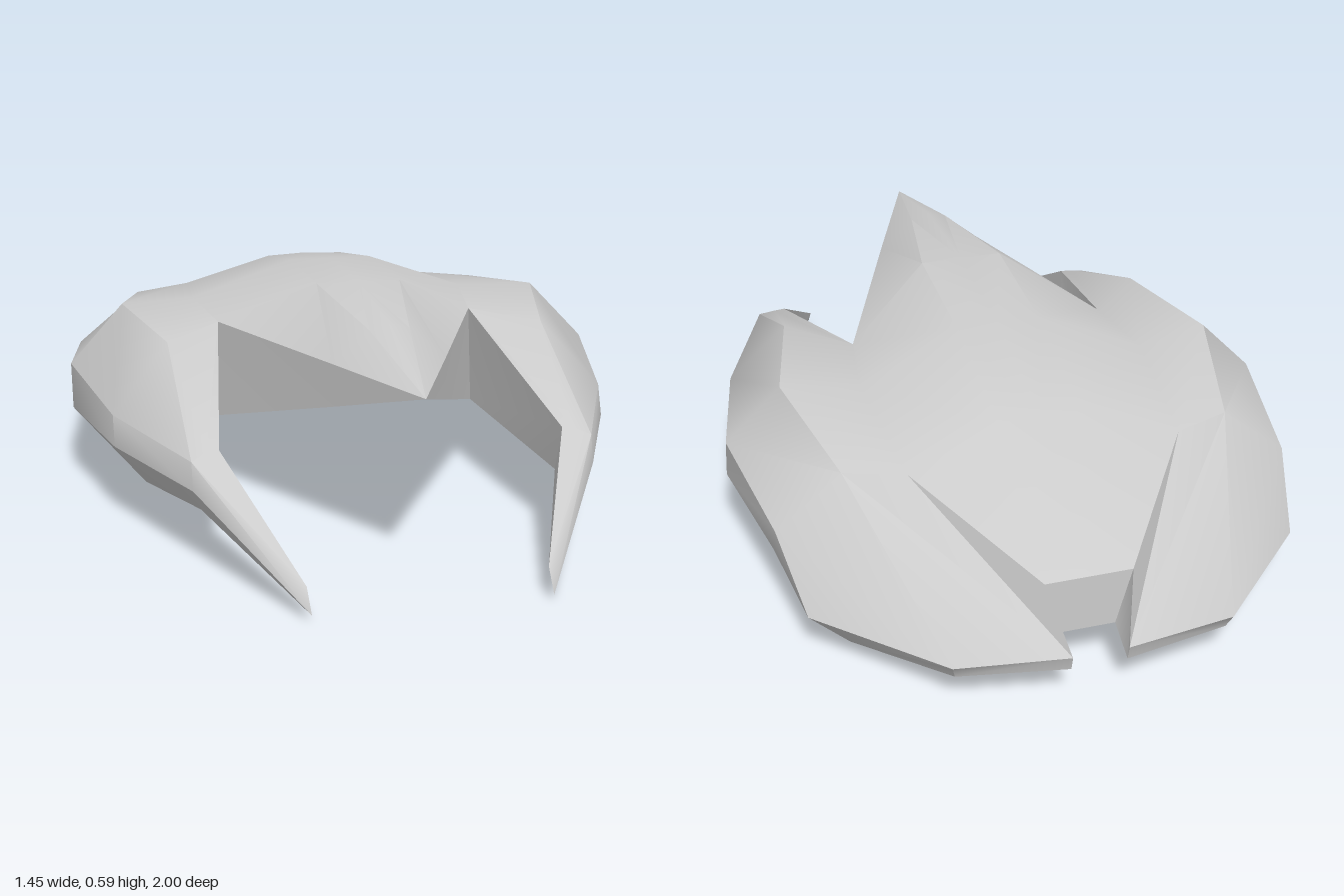
import * as THREE from 'three';
import { toCreasedNormals } from 'three/addons/utils/BufferGeometryUtils.js';

// Half cross-sections (+x side), back to front. Each runs from the top centre,
// out over the shoulder and rim, and back underneath to the bottom centre.
const rear = [
  [0, .29, -.9], [.11, .29, -.9], [.07, .14, -1], [.35, .14, -.96], [.63, .135, -.67],
  [.52, 0, -.62], [.34, .1, -.94], [.07, .1, -.99], [.07, .14, -.9], [0, .14, -.9],
];
const haunch = [
  [0, .51, -.52], [.11, .505, -.52], [.35, .425, -.56], [.5, .42, -.5], [.67, .28, -.5],
  [.67, .2, -.46], [.5, .08, -.47], [.3, .12, -.55], [.15, .19, -.55], [0, .2, -.55],
];
const middle = [
  [0, .575, -.15], [.11, .575, -.15], [.38, .47, -.2], [.58, .475, -.15], [.725, .32, -.13],
  [.725, .205, -.1], [.6, .12, -.1], [.38, .17, -.1], [.2, .26, -.1], [0, .27, -.1],
];
const fork = [
  [0, .59, .2], [.11, .59, .2], [.345, .46, .04], [.5, .455, .2], [.65, .285, .25],
  [.65, .21, .28], [.57, .1, .25], [.355, .2, .04], [.18, .28, .1], [0, .3, .1],
];
// Centre prong sections
const prongMid = [
  [0, .565, .55], [.05, .552, .55], [.142, .473, .55],
  [.142, .365, .55], [.07, .37, .55], [0, .375, .55],
];
const prongTip = Array(6).fill([0, .48, .9]);
// Side arm sections (closed loops)
const armMid = [
  [.43, .29, .6], [.46, .288, .6], [.5, .272, .62],
  [.5, .205, .64], [.47, .125, .55], [.425, .17, .57],
];
const tipTop = [.287, .07, .95], tipLow = [.285, .02, 1];
const armTip = [tipTop, tipTop, tipTop, tipLow, tipLow, tipLow];

export function createModel() {
  const positions = [];
  const same = (p, q) => p.every((v, i) => v === q[i]);

  // Adds a triangle and its mirror image
  function tri(a, b, c) {
    if (same(a, b) || same(b, c) || same(a, c)) return;
    positions.push(...a, ...b, ...c);
    for (const p of [a, c, b]) positions.push(-p[0], p[1], p[2]);
  }
  function quad(a, b, c, d) {
    tri(a, b, c);
    tri(a, c, d);
  }
  // Skins consecutive sections
  function loft(rows, closed = false) {
    for (let r = 0; r + 1 < rows.length; r++) {
      const p = rows[r], q = rows[r + 1], n = p.length;
      for (let j = 0; j < (closed ? n : n - 1); j++) {
        const k = (j + 1) % n;
        quad(p[j], q[j], q[k], p[k]);
      }
    }
  }

  // Body
  loft([rear, haunch, middle, fork]);

  // Rear edge with its centre notch
  for (let i = 0; i < 4; i++) quad(rear[i], rear[i + 1], rear[8 - i], rear[9 - i]);

  // Centre prong and side arms branch from the fork section
  loft([[0, 1, 2, 7, 8, 9].map(i => fork[i]), prongMid, prongTip]);
  loft([fork.slice(2, 8), armMid, armTip], true);

  const geometry = new THREE.BufferGeometry();
  geometry.setAttribute('position', new THREE.Float32BufferAttribute(positions, 3));

  const shell = new THREE.Mesh(
    toCreasedNormals(geometry, THREE.MathUtils.degToRad(38)),
    new THREE.MeshStandardMaterial({ color: 0xcccccc, side: THREE.DoubleSide }),
  );
  shell.name = 'prongedShell';

  const model = new THREE.Group();
  model.name = 'shell';
  model.add(shell);
  return model;
}
